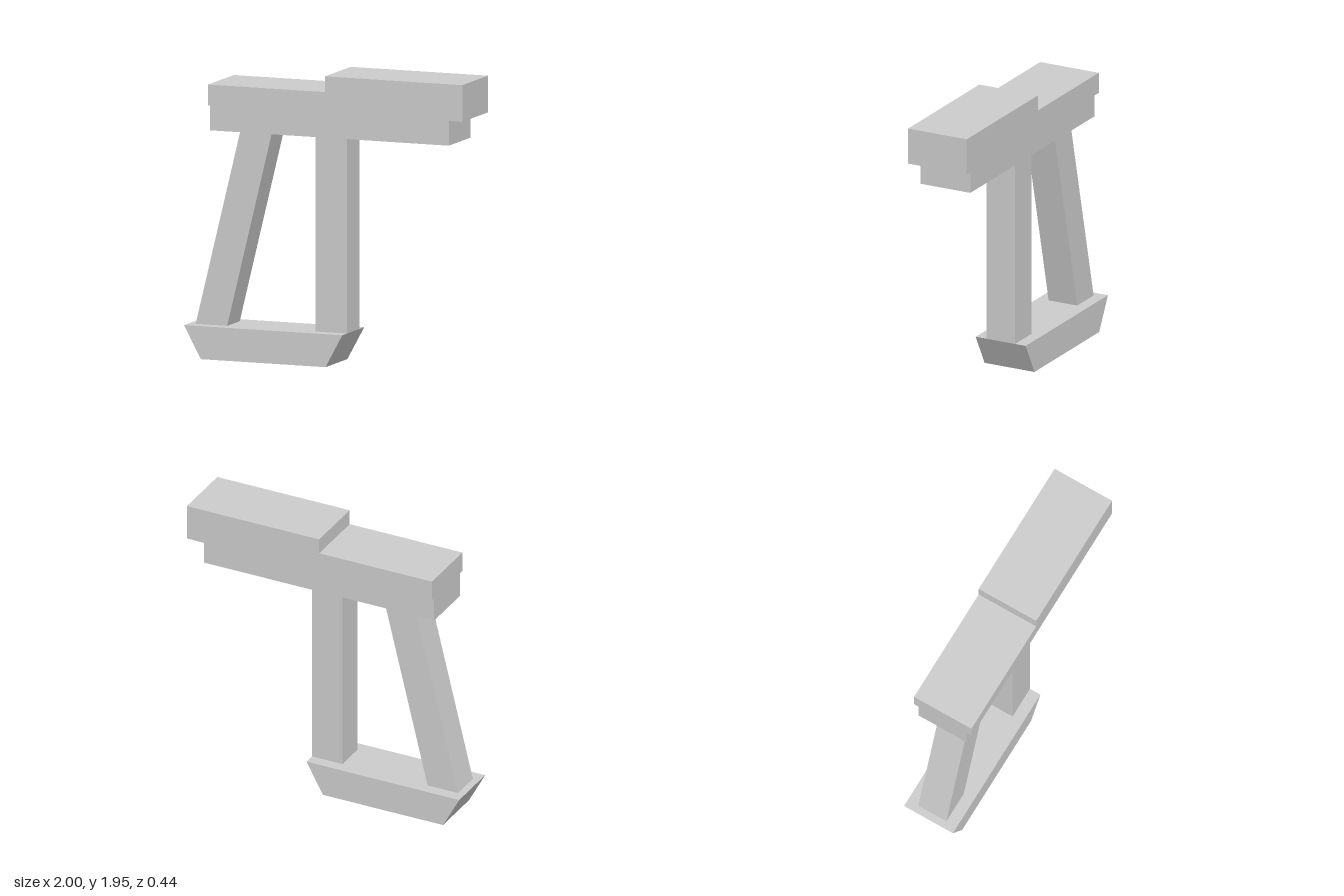
import * as THREE from 'three';

const material = new THREE.MeshStandardMaterial({ color: 0xcccccc, flatShading: true });

// Extrudes a front-facing outline (x, y corners) to a depth centred on z = 0
function slab(name, corners, depth) {
  const shape = new THREE.Shape(corners.map(([x, y]) => new THREE.Vector2(x, y)));
  const geometry = new THREE.ExtrudeGeometry(shape, { depth, bevelEnabled: false });
  geometry.translate(0, 0, -depth / 2);
  const mesh = new THREE.Mesh(geometry, material);
  mesh.name = name;
  return mesh;
}

export function createModel() {
  const model = new THREE.Group();
  model.name = 'steppedBeamStand';

  model.add(
    // Tapered foot
    slab('base', [[-0.88, 0], [0.01, 0], [0.13, 0.22], [-1, 0.22]], 0.375),
    // Upright and slanted supports
    slab('uprightPost', [[-0.095, 0.22], [0.13, 0.22], [0.13, 1.53], [-0.095, 1.53]], 0.215),
    slab('slantedPost', [[-0.95, 0.22], [-0.725, 0.22], [-0.405, 1.53], [-0.63, 1.53]], 0.215),
    // Narrow rail under the wider stepped beam
    slab('lowerRail', [[-0.815, 1.53], [0.89, 1.53], [0.89, 1.7], [-0.815, 1.7]], 0.375),
    slab('steppedBeam', [
      [-0.815, 1.7], [1, 1.7], [1, 1.945], [0.02, 1.945], [0.02, 1.84], [-0.815, 1.84],
    ], 0.44),
  );
  return model;
}
